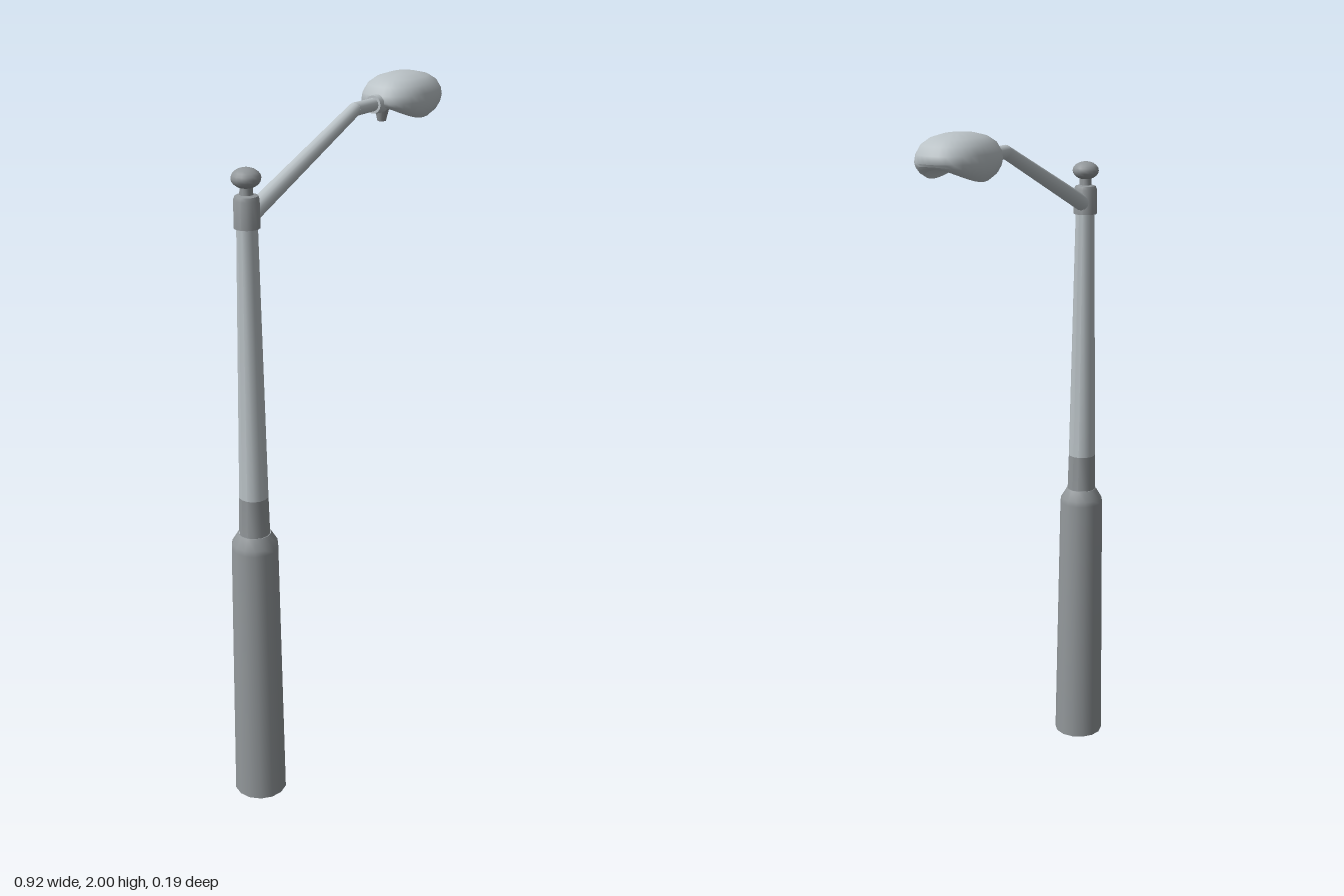
import * as THREE from 'three';
import { toCreasedNormals } from 'three/addons/utils/BufferGeometryUtils.js';

const POLE_X = -0.385;

export function createModel() {
  const group = new THREE.Group();
  const lightGrey = new THREE.MeshStandardMaterial({ color: 0xbac2c6 });
  lightGrey.name = 'light grey metal';
  const darkGrey = new THREE.MeshStandardMaterial({ color: 0x92979a });
  darkGrey.name = 'dark grey metal';

  const add = (name, geometry, material) => {
    const mesh = new THREE.Mesh(geometry, material);
    mesh.name = name;
    group.add(mesh);
    return mesh;
  };
  const turn = (profile, segments) =>
    new THREE.LatheGeometry(profile.map(([r, y]) => new THREE.Vector2(r, y)), segments);
  const turned = (name, profile, material) => {
    const mesh = add(name, toCreasedNormals(turn(profile, 14), 0.6), material);
    mesh.position.x = POLE_X;
  };
  // Tapered rod between two points
  const rod = (name, a, b, ra, rb, material) => {
    const from = new THREE.Vector3(...a), to = new THREE.Vector3(...b);
    const dir = to.clone().sub(from);
    const mesh = add(name, new THREE.CylinderGeometry(rb, ra, dir.length(), 14), material);
    mesh.position.copy(from).add(to).multiplyScalar(0.5);
    mesh.quaternion.setFromUnitVectors(new THREE.Vector3(0, 1, 0), dir.normalize());
  };

  // Pole, from the ground up
  turned('base', [[0, 0.02], [0.066, 0.012], [0.076, 0], [0.066, 0.8], [0.064, 0.815],
    [0.046, 0.845], [0.044, 0.845]], darkGrey);
  turned('lowerBand', [[0.044, 0.83], [0.041, 0.955]], darkGrey);
  turned('shaft', [[0.041, 0.955], [0.028, 1.72]], lightGrey);
  turned('collar', [[0.027, 1.708], [0.035, 1.708], [0.034, 1.78], [0.03, 1.79], [0.018, 1.793],
    [0.017, 1.82]], darkGrey);
  const finial = add('finial', new THREE.SphereGeometry(0.039, 16, 10), darkGrey);
  finial.scale.y = 0.68;
  finial.position.set(POLE_X, 1.835, 0);

  // Bent arm
  const elbow = [0.09, 1.93, 0];
  rod('arm', [POLE_X + 0.01, 1.737, 0], elbow, 0.024, 0.0185, lightGrey);
  rod('armEnd', elbow, [0.24, 1.928, 0], 0.0185, 0.0175, lightGrey);
  add('elbow', new THREE.SphereGeometry(0.0185, 14, 8), lightGrey).position.set(...elbow);

  // Socket and clamp where the arm meets the lamp head
  rod('socket', [0.178, 1.929, 0], [0.215, 1.928, 0], 0.025, 0.027, lightGrey);
  rod('clamp', [0.222, 1.925, 0], [0.222, 1.878, 0], 0.024, 0.012, darkGrey);

  // Lamp head: oval hood, hollow below, its rim lifted at both ends
  const head = turn([[0, 1.915], [0.04, 1.908], [0.066, 1.893], [0.074, 1.88], [0.086, 1.892],
    [0.093, 1.91], [0.096, 1.93], [0.093, 1.95], [0.082, 1.972], [0.062, 1.988], [0.034, 1.997],
    [0, 2]], 32);
  const p = head.attributes.position;
  for (let i = 0; i < p.count; i++) {
    const x = p.getX(i), y = p.getY(i), z = p.getZ(i);
    const angle = Math.atan2(z, x);
    const c = Math.abs(Math.cos(angle)), s = Math.abs(Math.sin(angle));
    const full = Math.pow(c ** 2.35 + s ** 2.35, -1 / 2.35); // fuller than an ellipse
    // Rim lift fades to nothing at the centre of the hollow
    const lift = Math.max(0, 1.93 - y) * 0.7 * c * c * Math.min(1, Math.hypot(x, z) / 0.04);
    p.setXYZ(i, x * full * 1.38 + 0.324, y + lift, z * full);
  }
  add('lampHead', toCreasedNormals(head, 0.9), lightGrey);

  return group;
}
